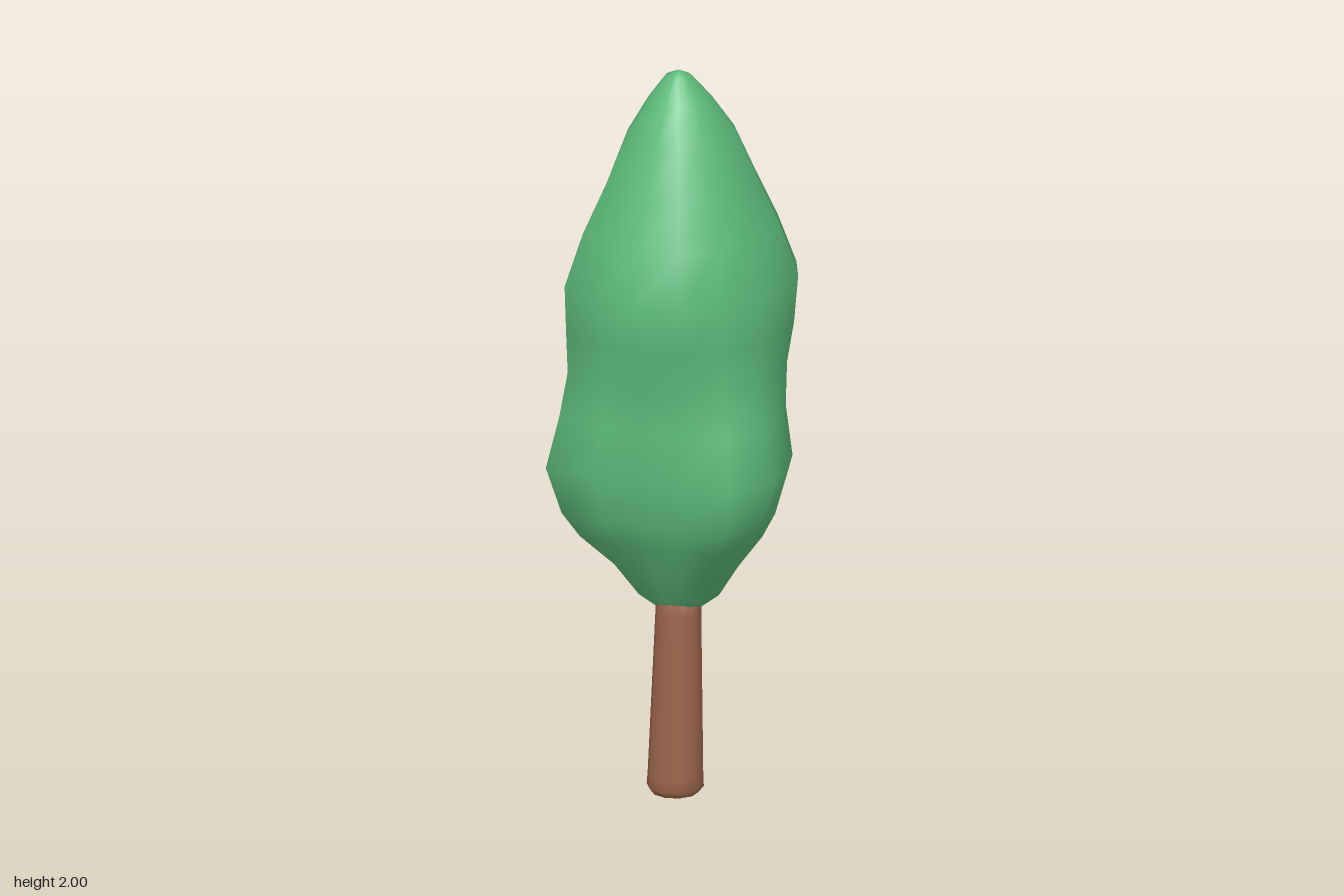
import * as THREE from 'three';

const SIDES = 16;

// Radii around the two widest levels, every 22.5 degrees from +x towards +z
const LOWER = [.295, .34, .357, .287, .285, .325, .395, .34, .29, .287, .35, .338, .32, .255, .26, .275];
const UPPER = [.27, .28, .295, .31, .335, .31, .343, .3, .315, .325, .3, .297, .285, .26, .3, .29];

// Crown levels: height, blend from lower to upper lobes, scale, lobe strength
const LEVELS = [
  [0.51, 0, 0.2, 0],
  [0.55, 0, 0.36, 0.2],
  [0.64, 0, 0.54, 0.5],
  [0.73, 0, 0.76, 0.9],
  [0.8, 0, 0.88, 1],
  [0.93, 0, 1, 1],
  [1.07, 0.25, 0.93, 1],
  [1.19, 0.55, 0.92, 0.9],
  [1.3, 0.9, 0.97, 1],
  [1.43, 1, 1, 1],
  [1.57, 1, 0.84, 1],
  [1.7, 1, 0.65, 0.8],
  [1.83, 1, 0.47, 0.5],
  [1.92, 1, 0.28, 0.3],
  [1.985, 1, 0.11, 0],
];

// Closed smooth surface through the level rings, with a pole at each end
function crownGeometry() {
  const pos = [], index = [];
  for (const [y, blend, scale, lobe] of LEVELS) {
    const drift = Math.max(0, 1 - scale); // narrow ends sit slightly off centre
    for (let i = 0; i < SIDES; i++) {
      const a = (i / SIDES) * Math.PI * 2;
      const full = THREE.MathUtils.lerp(LOWER[i], UPPER[i], blend);
      const r = scale * THREE.MathUtils.lerp(0.31, full, lobe);
      pos.push(Math.cos(a) * r - 0.022 * drift, y, Math.sin(a) * r + 0.022 * drift);
    }
  }
  const bottom = pos.length / 3, top = bottom + 1;
  pos.push(-0.02, 0.5, 0.015, -0.02, 2, 0.017);
  const last = (LEVELS.length - 1) * SIDES;
  for (let i = 0; i < SIDES; i++) {
    const n = (i + 1) % SIDES;
    for (let k = 0; k < last; k += SIDES) {
      const a = k + i, b = k + n;
      index.push(a, a + SIDES, b, b, a + SIDES, b + SIDES);
    }
    index.push(bottom, i, n, top, last + n, last + i);
  }
  const g = new THREE.BufferGeometry();
  g.setAttribute('position', new THREE.Float32BufferAttribute(pos, 3));
  g.setIndex(index);
  g.computeVertexNormals();
  return g;
}

// Tapered trunk with a softened foot, leaning a little towards +x
function trunkGeometry() {
  const profile = [[0, 0], [0.062, 0], [0.076, 0.018], [0.074, 0.05], [0.061, 0.5], [0.059, 0.6], [0, 0.6]]
    .map(([r, y]) => new THREE.Vector2(r, y));
  const g = new THREE.LatheGeometry(profile, 10);
  const p = g.attributes.position;
  for (let i = 0; i < p.count; i++) {
    const t = p.getY(i) / 0.55;
    p.setX(i, p.getX(i) - 0.012 + 0.008 * t);
    p.setZ(i, p.getZ(i) + 0.053 - 0.005 * t);
  }
  return g;
}

export function createModel() {
  const leafGreen = new THREE.MeshStandardMaterial({ color: 0x5cba78 });
  leafGreen.name = 'leafGreen';
  const barkBrown = new THREE.MeshStandardMaterial({ color: 0x9c664a });
  barkBrown.name = 'barkBrown';

  const tree = new THREE.Group();
  tree.name = 'tree';
  const crown = new THREE.Mesh(crownGeometry(), leafGreen);
  crown.name = 'crown';
  const trunk = new THREE.Mesh(trunkGeometry(), barkBrown);
  trunk.name = 'trunk';
  tree.add(crown, trunk);
  return tree;
}
